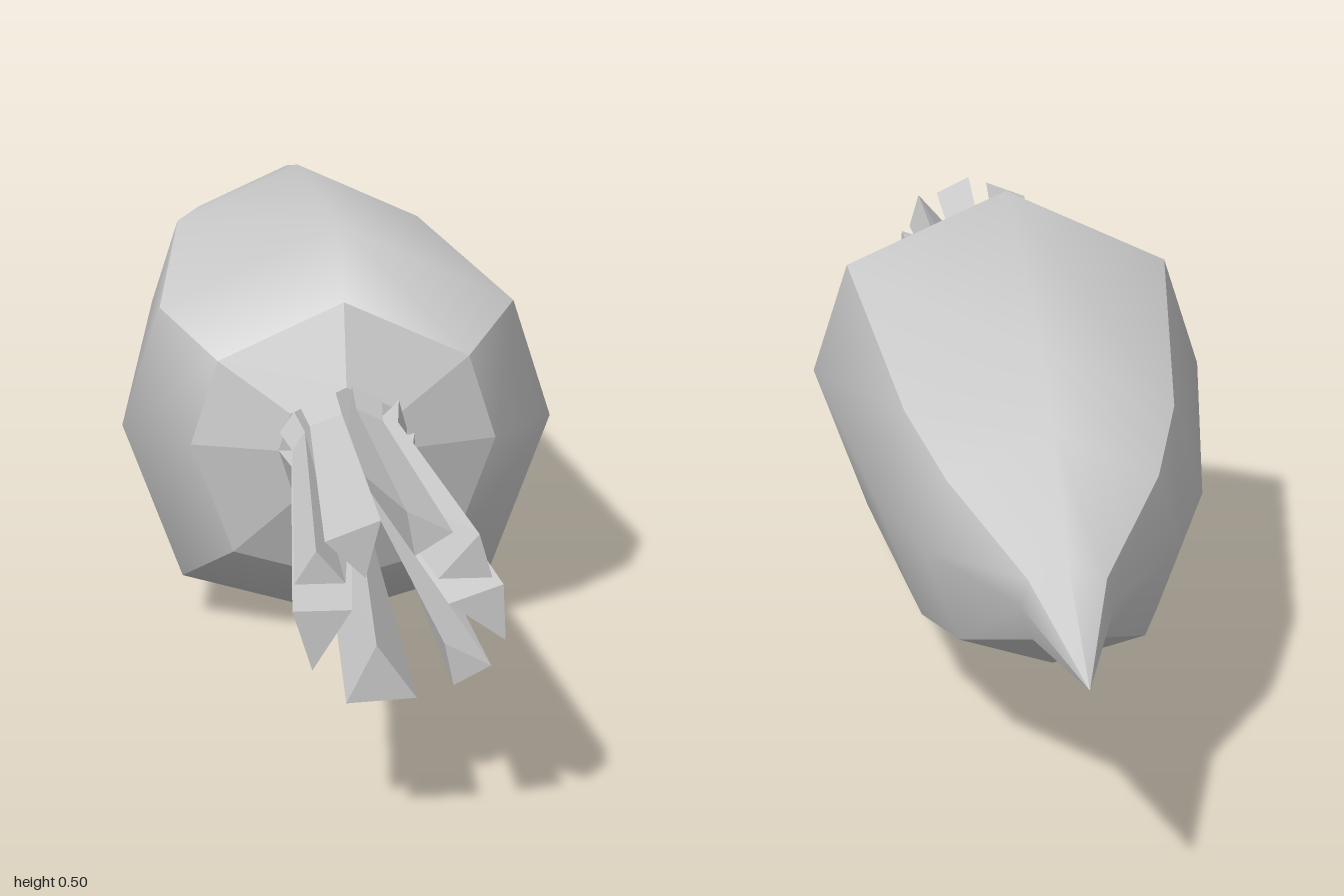
import * as THREE from 'three';

const CY = 0.253;

// Skin a list of cross-sections (ordered front to back, each clockwise seen from the front)
function loft(rings, closed) {
  const n = rings[0].length;
  const index = [];
  for (let i = 0; i < rings.length - 1; i++) {
    for (let k = 0; k < (closed ? n : n - 1); k++) {
      const a = i * n + k, b = i * n + (k + 1) % n;
      index.push(a, b, a + n, b, b + n, a + n);
    }
  }
  const geo = new THREE.BufferGeometry();
  geo.setAttribute('position', new THREE.Float32BufferAttribute(rings.flat(2), 3));
  geo.setIndex(index);
  geo.computeVertexNormals();
  return geo;
}

export function createModel() {
  const group = new THREE.Group();
  const smooth = new THREE.MeshStandardMaterial({ color: 0xcccccc });
  const faceted = new THREE.MeshStandardMaterial({ color: 0xcccccc, flatShading: true });
  const add = (name, geo, mat) => {
    const mesh = new THREE.Mesh(geo, mat);
    mesh.name = name;
    group.add(mesh);
  };

  // Uneven eight-sided root cross-section, clockwise from the top
  const octagon = [
    [0, 0.246], [0.216, 0.147], [0.263, 0], [0.191, -0.195],
    [0, -0.25], [-0.191, -0.195], [-0.263, 0], [-0.216, 0.147],
  ];
  const ring = (z, s, ids) => ids.map((k) => [octagon[k][0] * s, CY + octagon[k][1] * s, z]);

  // Root: four smooth strips with sharp edges between them, tapering to the tip
  const profile = [[0.38, 0.7], [0.29, 1], [-0.31, 0.76], [-0.51, 0.575], [-0.72, 0.205], [-1, 0]];
  const strips = { rootTop: [7, 0, 1], rootLeft: [1, 2, 3], rootBottom: [3, 4, 5], rootRight: [5, 6, 7] };
  for (const [name, ids] of Object.entries(strips)) {
    add(name, loft(profile.map(([z, s]) => ring(z, s, ids)), false), smooth);
  }

  // Faceted crown closing the thick end
  const all = octagon.map((_, k) => k);
  add('crown', loft([[0.415, 0], [0.415, 0.31], [0.38, 0.7]].map(([z, s]) => ring(z, s, all)), true), faceted);

  // Stalk ends: two outer corners and an inner corner, relative to the axis
  const stalks = [
    [[0.021, -0.1], [-0.054, -0.104], [-0.022, -0.04]],
    [[-0.09, -0.066], [-0.111, 0], [-0.048, 0]],
    [[-0.109, 0.03], [-0.086, 0.066], [-0.055, 0.03]],
    [[-0.077, 0.076], [-0.018, 0.098], [-0.034, 0.035]],
    [[0.009, 0.107], [0.058, 0.083], [0.018, 0.058]],
    [[0.086, 0.08], [0.1, 0.032], [0.043, 0.032]],
    [[0.112, 0.024], [0.115, -0.038], [0.054, 0.004]],
    [[0.1, -0.066], [0.06, -0.087], [0.05, -0.04]],
  ];
  stalks.forEach((tri, i) => {
    const section = (z, outer, inner) => tri.map(([x, y], k) => {
      const s = k < 2 ? outer : inner;
      return [x * s, CY + y * s, z];
    });
    const end = section(1, 1, 1);
    const mid = [0, 1, 2].map((c) => (end[0][c] + end[1][c] + end[2][c]) / 3);
    const rings = [[mid, mid, mid], end, section(0.48, 0.64, 0), section(0.4, 0.75, 0)];
    add('stalk' + (i + 1), loft(rings, true), faceted);
  });

  return group;
}
